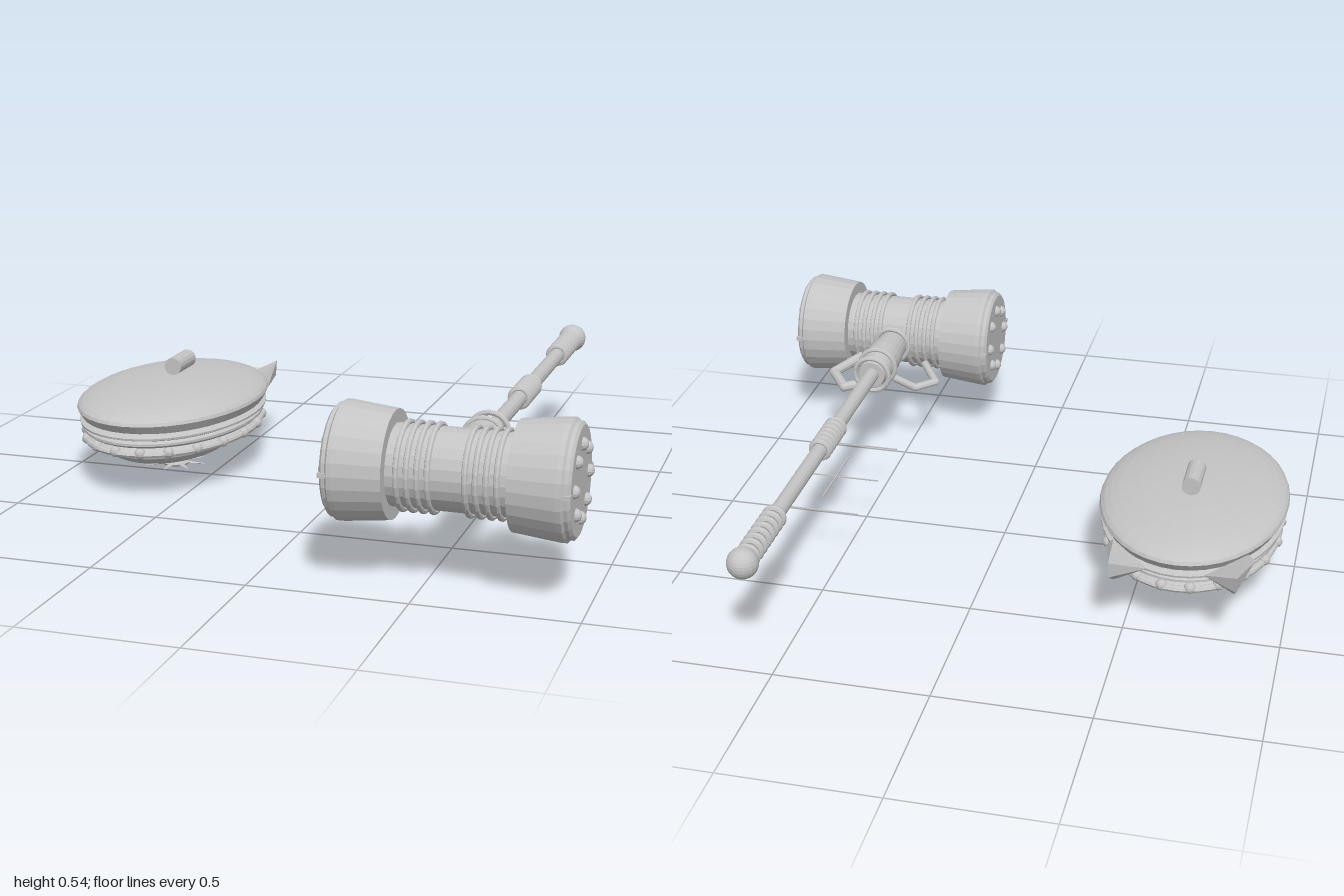
import * as THREE from 'three';
import { ConvexGeometry } from 'three/addons/geometries/ConvexGeometry.js';

export function createModel() {
  const model = new THREE.Group();
  const grey = new THREE.MeshStandardMaterial({ color: 0xc4c4c4, flatShading: true });
  grey.name = 'light grey';

  const add = (parent, name, geo, x = 0, y = 0, z = 0) => {
    const m = new THREE.Mesh(geo, grey);
    m.name = name;
    m.position.set(x, y, z);
    parent.add(m);
    return m;
  };
  const group = (parent, name, x, y, z) => {
    const g = new THREE.Group();
    g.name = name;
    g.position.set(x, y, z);
    parent.add(g);
    return g;
  };
  const lathe = (pts, n) => new THREE.LatheGeometry(pts.map(p => new THREE.Vector2(...p)), n);

  // ---------- Hammer: handle along z, head along x ----------
  const hammer = group(model, 'hammer', 0.589, 0.358, 0);
  const ringZ = (name, z, r, t) => add(hammer, name, new THREE.TorusGeometry(r, t, 8, 24), 0, 0, z);

  add(hammer, 'shaft', new THREE.CylinderGeometry(0.026, 0.026, 1.35, 16).rotateX(Math.PI / 2), 0, 0, -0.25);
  add(hammer, 'pommel', new THREE.SphereGeometry(0.05, 20, 14), 0, 0, -0.95);
  for (let i = 0; i < 8; i++) ringZ('gripRing', -0.905 + i * 0.0345, 0.03, 0.011);
  for (let i = 0; i < 7; i++) ringZ('middleRing', -0.2 + i * 0.0285, 0.03, 0.01);

  // Socket joining shaft and head
  add(hammer, 'socket', lathe([[0, 0.4], [0.047, 0.4], [0.056, 0.44], [0.064, 0.5], [0.064, 0.56],
    [0.055, 0.66], [0.055, 0.72]], 24).rotateX(Math.PI / 2));
  ringZ('socketRing', 0.403, 0.063, 0.009);
  ringZ('socketRing', 0.478, 0.065, 0.009);
  ringZ('socketRing', 0.668, 0.063, 0.009);

  // Head
  const head = group(hammer, 'head', 0, 0, 0.818);
  add(head, 'core', new THREE.CylinderGeometry(0.124, 0.124, 0.42, 24).rotateZ(Math.PI / 2));
  for (const s of [-1, 1]) {
    const end = group(head, 'headEnd', 0, 0, 0);
    end.rotation.z = -s * Math.PI / 2;
    add(end, 'flaredBlock', lathe([[0, 0.182], [0.165, 0.182], [0.181, 0.325], [0.181, 0.34],
      [0.172, 0.347], [0.172, 0.358], [0.162, 0.366], [0, 0.366]], 28));
    for (let i = 0; i < 8; i++) {
      const a = i * Math.PI / 4;
      add(end, 'rivet', new THREE.SphereGeometry(0.021, 12, 8), Math.cos(a) * 0.11, 0.363, Math.sin(a) * 0.11);
    }
    // Small pins where the rim halves meet
    for (const p of [-1, 1]) add(end, 'rimPin', new THREE.BoxGeometry(0.014, 0.03, 0.02), 0, 0.353, p * 0.168);
    for (let i = 0; i < 4; i++) {
      add(head, 'headRing', new THREE.TorusGeometry(0.129, 0.009, 8, 28).rotateY(Math.PI / 2), s * (0.055 + i * 0.031));
    }
  }

  // Bent side brackets, each made of straight bars
  const up = new THREE.Vector3(0, 1, 0);
  const bracket = (pts, r) => {
    const v = pts.map(([x, z]) => new THREE.Vector3(x, -0.088 + (z - 0.58) * 0.12, z));
    v.slice(1).forEach((b, i) => {
      const dir = b.clone().sub(v[i]);
      const bar = add(hammer, 'bracketBar', new THREE.CylinderGeometry(r, r, dir.length(), 10));
      bar.position.copy(v[i]).addScaledVector(dir, 0.5);
      bar.quaternion.setFromUnitVectors(up, dir.normalize());
      add(hammer, 'bracketJoint', new THREE.SphereGeometry(r, 10, 8), b.x, b.y, b.z);
    });
  };
  bracket([[0.13, 0.7], [0.2, 0.573], [0.133, 0.48], [0.045, 0.53]], 0.018);
  bracket([[-0.12, 0.69], [-0.192, 0.575], [-0.128, 0.523], [-0.04, 0.57]], 0.014);

  // Thin marker bars under the shaft
  for (const z of [-0.28, -0.04, 0.2]) add(hammer, 'crossBar', new THREE.BoxGeometry(0.3, 0.004, 0.004), 0.003, -0.186, z);
  add(hammer, 'lengthBar', new THREE.BoxGeometry(0.004, 0.004, 0.3), 0.003, -0.186, -0.04);

  // ---------- Oval shield, face down ----------
  const shield = group(model, 'shield', -0.66, 0, -0.063);
  const oval = 1.475;
  const dome = [];
  for (let i = 0; i <= 10; i++) {
    const a = i * Math.PI / 20;
    dome.push([i < 10 ? 0.31 * Math.cos(a) : 0, 0.266 + 0.068 * Math.sin(a)]);
  }
  add(shield, 'backDome', lathe([[0.26, 0.222], [0.295, 0.237], ...dome], 40).scale(1, 1, oval));
  add(shield, 'rim', lathe([[0, 0.138], [0.225, 0.138], [0.265, 0.143], [0.284, 0.15], [0.284, 0.168], [0.272, 0.178],
    [0.284, 0.183], [0.294, 0.192], [0.294, 0.2], [0.285, 0.207], [0.302, 0.215], [0.303, 0.222], [0.28, 0.232],
    [0, 0.235]], 40).scale(1, 1, oval));
  const bowl = [[0, 0.06]];
  for (let i = 1; i <= 8; i++) {
    const a = i * Math.PI / 16;
    bowl.push([0.225 * Math.sin(a), 0.142 - 0.082 * Math.cos(a)]);
  }
  add(shield, 'frontBowl', lathe(bowl, 40).scale(1, 1, oval), 0, 0, 0.03);

  // Beaded edge
  add(shield, 'edgeRing', new THREE.TorusGeometry(0.284, 0.011, 8, 48).rotateX(Math.PI / 2).scale(1, 1, oval), 0, 0.16, 0);
  for (let i = 0; i < 20; i++) {
    const a = (i + 0.5) * Math.PI / 10;
    add(shield, 'edgeBead', new THREE.SphereGeometry(0.019, 10, 8), 0.286 * Math.cos(a), 0.165, 0.42 * Math.sin(a));
  }

  add(shield, 'grip', new THREE.CylinderGeometry(0.031, 0.031, 0.14, 16).rotateX(Math.PI / 2), 0, 0.366, -0.057);

  // Pointed wedge ears
  for (const s of [-1, 1]) {
    const corners = [[0.236, 0.23, -0.315], [0.215, 0.26, -0.33], [0.09, 0.23, -0.437], [0.16, 0.2, -0.36],
      [0.2, 0.28, -0.515], [0.198, 0.225, -0.508], [0.188, 0.2, -0.475]];
    add(shield, 'ear', new ConvexGeometry(corners.map(([x, y, z]) => new THREE.Vector3(s * x, y, z))));
  }

  // Rayed emblem below the bowl
  const emblem = group(model, 'emblem', -0.66, 0.018, -0.06);
  add(emblem, 'boss', new THREE.SphereGeometry(0.042, 16, 10).scale(1, 0.35, 1), 0, -0.003, 0);
  add(emblem, 'emblemRing', new THREE.TorusGeometry(0.045, 0.007, 6, 24).rotateX(Math.PI / 2));
  for (let i = 0; i < 8; i++) {
    const ray = add(emblem, 'ray', new THREE.ConeGeometry(0.012, 0.08, 4).rotateZ(-Math.PI / 2)
      .scale(1, 0.4, 1).translate(0.08, 0, 0));
    ray.rotation.y = i * Math.PI / 4;
  }
  return model;
}
